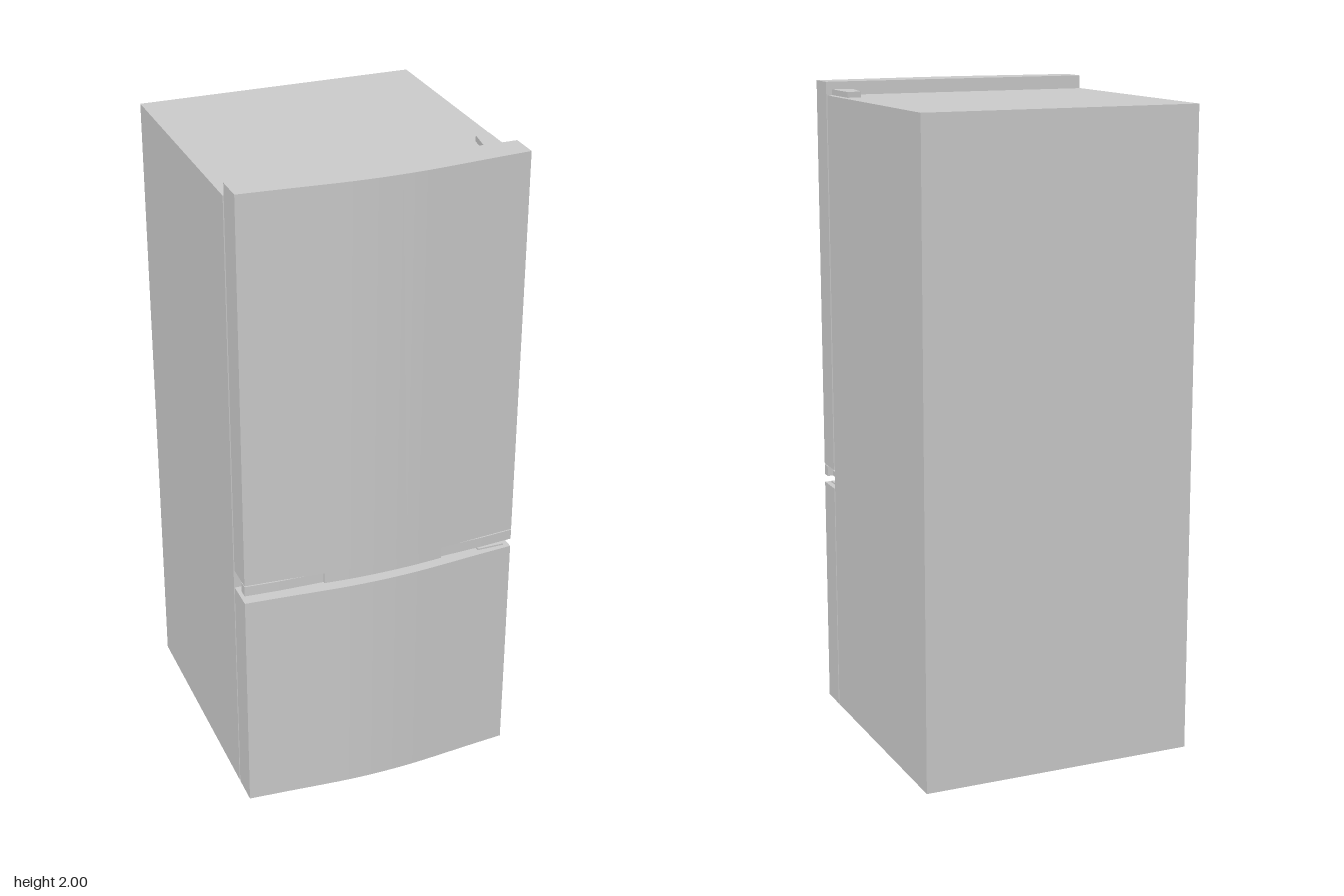
import * as THREE from 'three';

const material = new THREE.MeshStandardMaterial({ color: 0xcccccc, flatShading: true });

// Gently bowed door front: depth z for each x
const half = new THREE.SplineCurve([
  [-0.427, 0.4135], [-0.3, 0.4235], [-0.2, 0.4325], [-0.1, 0.44], [0, 0.4425],
  [0.1, 0.44], [0.2, 0.4325], [0.3, 0.4235], [0.427, 0.4135],
].map(([x, z]) => new THREE.Vector2(x, z)));
const bow = half.getPoints(160);
function frontZ(x) {
  const i = Math.max(1, bow.findIndex((p) => p.x >= x - 1e-6));
  const a = bow[i - 1], b = bow[i];
  return THREE.MathUtils.mapLinear(x, a.x, b.x, a.y, b.y);
}

function add(parent, name, geometry) {
  const mesh = new THREE.Mesh(geometry, material);
  mesh.name = name;
  parent.add(mesh);
  return mesh;
}

// Box given by its limits
function box(parent, name, x0, x1, y0, y1, z0, z1) {
  const mesh = add(parent, name, new THREE.BoxGeometry(x1 - x0, y1 - y0, z1 - z0));
  mesh.position.set((x0 + x1) / 2, (y0 + y1) / 2, (z0 + z1) / 2);
  return mesh;
}

// Plan outline of [x, z] points raised from y0 to y1
function slab(parent, name, outline, y0, y1) {
  const shape = new THREE.Shape(outline.map(([x, z]) => new THREE.Vector2(x, -z)));
  const geometry = new THREE.ExtrudeGeometry(shape, { depth: y1 - y0, bevelEnabled: false });
  geometry.rotateX(-Math.PI / 2);
  geometry.translate(0, y0, 0);
  return add(parent, name, geometry);
}

// Bowed panel between x0 and x1, with an optional inset of its front
function bowed(parent, name, x0, x1, y0, y1, back, inset = () => 0) {
  const n = Math.max(6, Math.round((x1 - x0) * 28));
  const outline = [[x1, back], [x0, back]];
  for (let i = 0; i <= n; i++) {
    const x = x0 + ((x1 - x0) * i) / n;
    outline.push([x, frontZ(x) - inset(x)]);
  }
  return slab(parent, name, outline, y0, y1);
}

export function createModel() {
  const model = new THREE.Group();
  model.name = 'refrigerator';
  const W = 0.427;

  box(model, 'cabinet', -W, W, 0, 1.96, -0.445, 0.316);

  // Upper door, with a lip hanging below its back edge as a hand grip
  const upper = new THREE.Group();
  upper.name = 'upperDoor';
  model.add(upper);
  bowed(upper, 'upperDoorPanel', -W, W, 0.787, 2, 0.325);
  bowed(upper, 'middleLip', -0.187, 0.187, 0.752, 0.787, 0.385);
  const grip = (x) => 0.007 * Math.max(0, (0.32 - Math.abs(x)) / 0.133);
  bowed(upper, 'rightGripLip', -W, -0.187, 0.752, 0.784, 0.385, grip);
  bowed(upper, 'leftGripLip', 0.187, W, 0.752, 0.784, 0.385, grip);
  box(upper, 'upperGasket', -0.41, 0.41, 0.8, 1.95, 0.314, 0.326);

  // Lower door
  bowed(model, 'lowerDoor', -W, W, 0, 0.726, 0.323);

  // Top hinge cover
  slab(model, 'topHinge',
    [[0.342, 0.326], [0.408, 0.326], [0.408, 0.187], [0.363, 0.195]], 1.958, 1.977);

  // Middle hinge between the doors
  const hinge = new THREE.Group();
  hinge.name = 'middleHinge';
  model.add(hinge);
  box(hinge, 'hingePlate', 0.325, 0.41, 0.72, 0.731, 0.314, 0.4);
  box(hinge, 'hingeBracket', 0.325, 0.41, 0.752, 0.769, 0.314, 0.386);

  return model;
}
